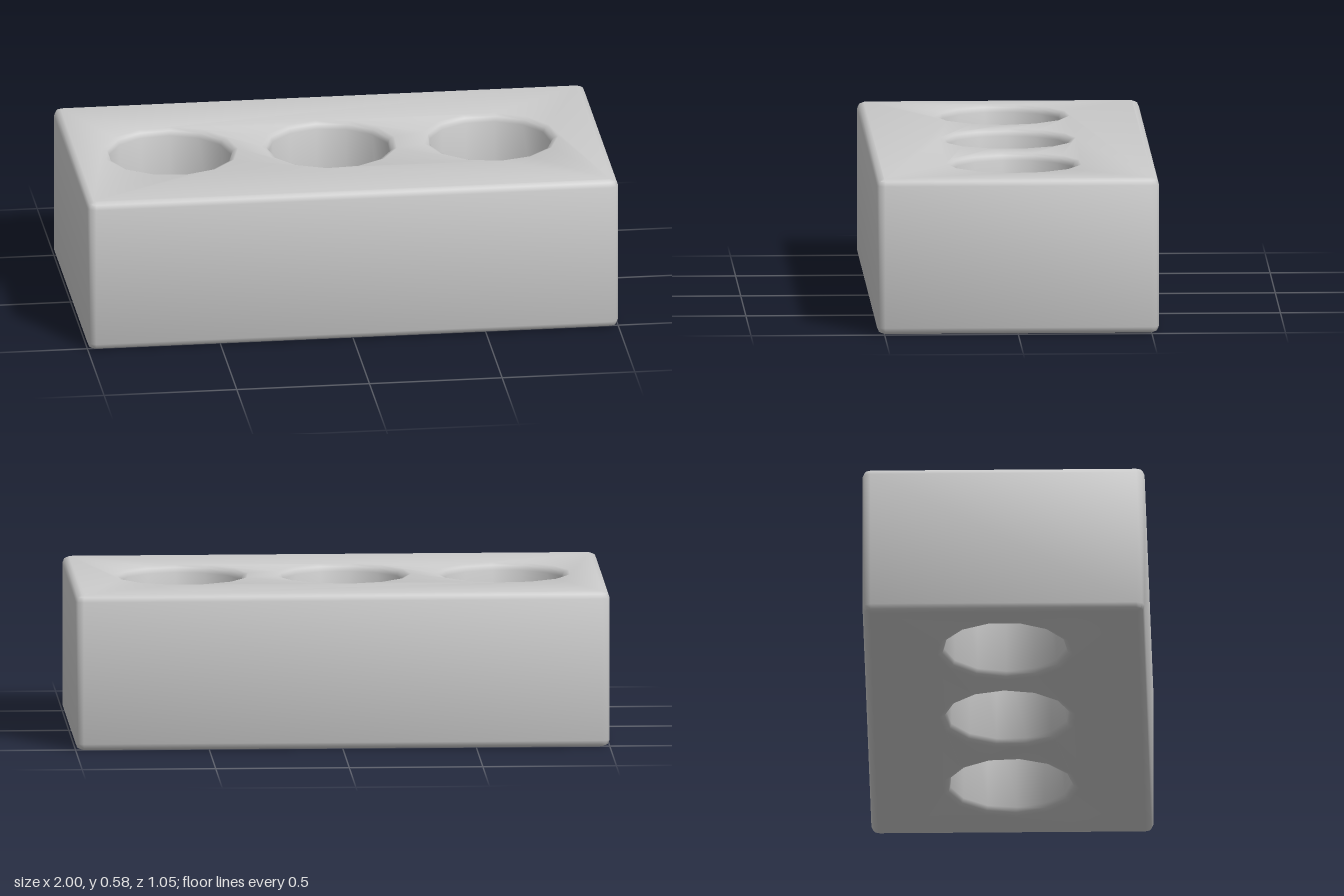
import * as THREE from 'three';
import { toCreasedNormals } from 'three/addons/utils/BufferGeometryUtils.js';

const WIDTH = 2, HEIGHT = 0.585, DEPTH = 1.055;
const BEVEL = 0.025, CORNER = 0.03;
const HOLE_RADIUS = 0.23, HOLE_SIDES = 13;
const HOLE_CENTRES = [-0.625, -0.025, 0.58];

// Rectangle with slightly rounded corners
function brickOutline() {
  const points = [];
  const cx = WIDTH / 2 - CORNER, cy = DEPTH / 2 - CORNER;
  [[1, 1], [-1, 1], [-1, -1], [1, -1]].forEach(([sx, sy], i) => {
    for (let k = 0; k <= 2; k++) {
      const a = (i + k / 2) * Math.PI / 2;
      points.push(new THREE.Vector2(sx * cx + CORNER * Math.cos(a), sy * cy + CORNER * Math.sin(a)));
    }
  });
  return new THREE.Shape(points);
}

// Faceted round hole
function hole(x, turn) {
  const points = [];
  for (let i = 0; i < HOLE_SIDES; i++) {
    const a = -(i / HOLE_SIDES) * Math.PI * 2 + turn;
    points.push(new THREE.Vector2(x + HOLE_RADIUS * Math.cos(a), HOLE_RADIUS * Math.sin(a)));
  }
  return new THREE.Path(points);
}

export function createModel() {
  const model = new THREE.Group();
  model.name = 'brick';

  // Block with three holes running from top to bottom
  const shape = brickOutline();
  HOLE_CENTRES.forEach((x, i) => shape.holes.push(hole(x, i * 0.2)));
  const geometry = new THREE.ExtrudeGeometry(shape, {
    depth: HEIGHT - 2 * BEVEL,
    bevelEnabled: true,
    bevelThickness: BEVEL,
    bevelSize: BEVEL,
    bevelOffset: -BEVEL,
    bevelSegments: 2,
  });
  geometry.rotateX(-Math.PI / 2);
  geometry.translate(0, BEVEL, 0);

  const block = new THREE.Mesh(
    toCreasedNormals(geometry, 0.9),
    new THREE.MeshStandardMaterial({ color: 0xcccccc })
  );
  block.name = 'perforatedBlock';
  model.add(block);
  return model;
}
